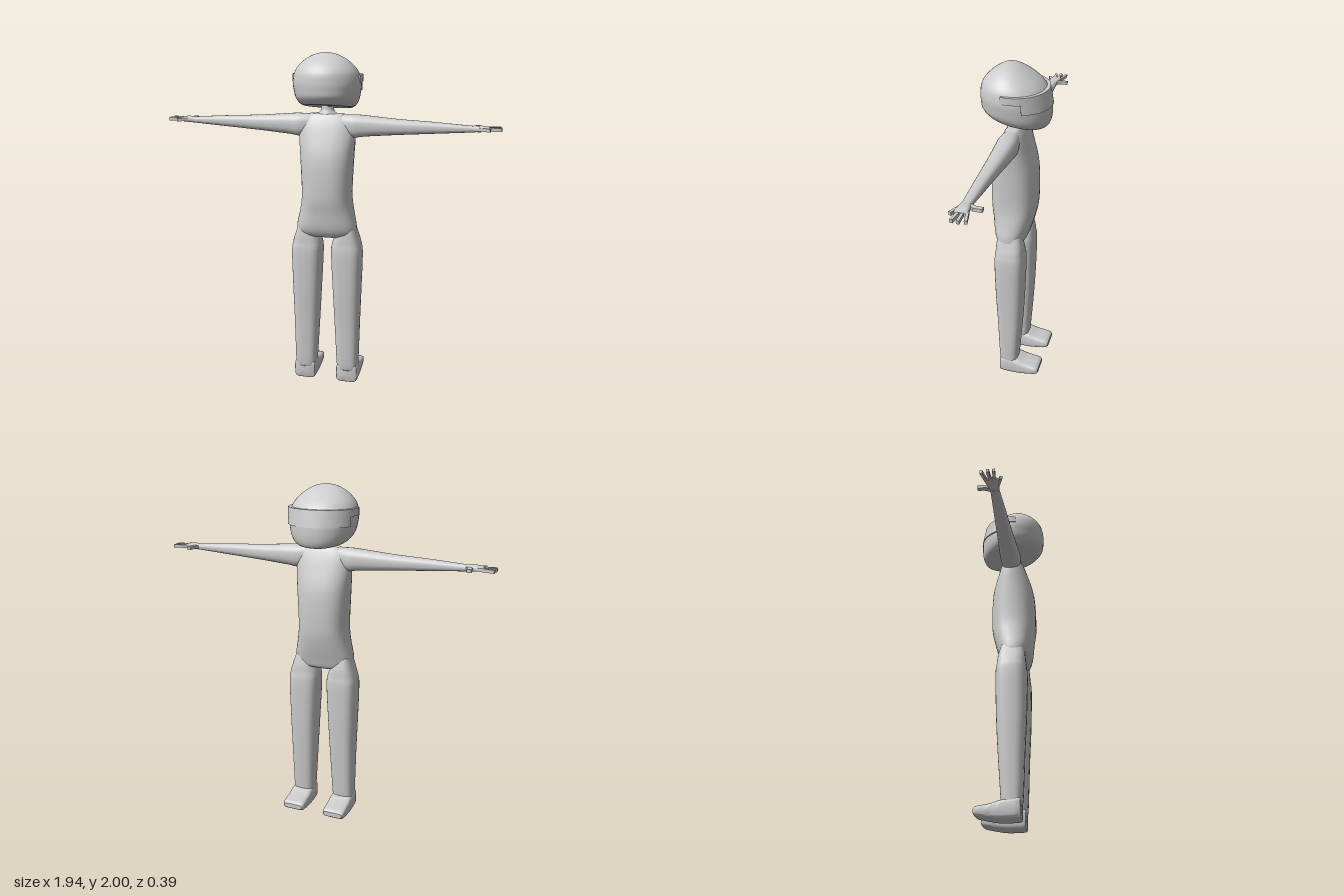
import * as THREE from 'three';
import { toCreasedNormals } from 'three/addons/utils/BufferGeometryUtils.js';

// Skins a list of closed rings, caps both ends and turns all faces outward.
function skin(rings, crease) {
  const n = rings[0].length, last = rings.length - 1, pos = [], idx = [];
  rings.forEach(r => r.forEach(p => pos.push(...p)));
  for (let i = 0; i < last; i++) for (let j = 0; j < n; j++) {
    const a = i * n + j, b = i * n + (j + 1) % n;
    idx.push(a, a + n, b, b, a + n, b + n);
  }
  for (const e of [0, last]) {
    const c = pos.length / 3;
    pos.push(...[0, 1, 2].map(k => rings[e].reduce((s, p) => s + p[k], 0) / n));
    for (let j = 0; j < n; j++) {
      const a = e * n + j, b = e * n + (j + 1) % n;
      if (e === 0) idx.push(c, a, b); else idx.push(c, b, a);
    }
  }
  const v = i => new THREE.Vector3(...pos.slice(i * 3, i * 3 + 3));
  let volume = 0;
  for (let i = 0; i < idx.length; i += 3)
    volume += v(idx[i]).dot(v(idx[i + 1]).cross(v(idx[i + 2])));
  if (volume < 0) idx.reverse();
  const g = new THREE.BufferGeometry();
  g.setAttribute('position', new THREE.Float32BufferAttribute(pos, 3));
  g.setIndex(idx);
  g.computeVertexNormals();
  return crease ? toCreasedNormals(g, crease) : g;
}

// Rows are [t, u0, u1, v0, v1, tilt]; sections are superellipses of power n.
function loft(rows, map, { n = 2.5, sides = 28, steps = 4, crease = 0 } = {}) {
  const dense = [];
  for (let i = 0; i < rows.length - 1; i++) {
    const p = [rows[Math.max(i - 1, 0)], rows[i], rows[i + 1], rows[Math.min(i + 2, rows.length - 1)]];
    for (let s = 0; s < steps; s++) {
      const f = s / steps;
      dense.push(p[1].map((b, k) => {
        const m1 = (p[2][k] - p[0][k]) / 2, m2 = (p[3][k] - b) / 2, c = p[2][k];
        return (2 * f ** 3 - 3 * f * f + 1) * b + (f ** 3 - 2 * f * f + f) * m1
          + (3 * f * f - 2 * f ** 3) * c + (f ** 3 - f * f) * m2;
      }));
    }
  }
  dense.push(rows[rows.length - 1]);
  const pw = c => Math.sign(c) * Math.abs(c) ** (2 / n);
  return skin(dense.map(([t, u0, u1, v0, v1, tilt = 0]) =>
    Array.from({ length: sides }, (_, j) => {
      const a = j / sides * Math.PI * 2;
      const u = (u0 + u1) / 2 + (u1 - u0) / 2 * pw(Math.cos(a));
      const w = (v0 + v1) / 2 + (v1 - v0) / 2 * pw(Math.sin(a));
      return map(t + tilt * w, u, w);
    })), crease);
}

export function createModel() {
  const model = new THREE.Group();
  model.name = 'helmetedFigure';
  const grey = new THREE.MeshStandardMaterial({ color: 0xcccccc });
  grey.name = 'plain grey';
  const add = (name, geometry) => {
    const mesh = new THREE.Mesh(geometry, grey);
    mesh.name = name;
    model.add(mesh);
  };
  const up = (t, u, v) => [u, t, v];

  // Torso from crotch to shoulders
  add('torso', loft([
    [0.935, -0.09, 0.09, -0.03, 0.05],
    [0.95, -0.165, 0.165, -0.06, 0.09],
    [1.00, -0.178, 0.178, -0.077, 0.118],
    [1.10, -0.158, 0.158, -0.105, 0.132],
    [1.20, -0.146, 0.146, -0.12, 0.144],
    [1.40, -0.154, 0.154, -0.115, 0.136],
    [1.54, -0.163, 0.163, -0.078, 0.098],
    [1.62, -0.15, 0.15, -0.05, 0.068],
    [1.66, -0.10, 0.10, -0.03, 0.045],
  ], up, { sides: 36 }));

  add('neck', loft([
    [1.63, -0.11, 0.11, -0.04, 0.055],
    [1.665, -0.05, 0.05, -0.035, 0.045],
    [1.69, -0.036, 0.036, -0.03, 0.037],
    [1.74, -0.034, 0.034, -0.03, 0.037],
  ], up, { n: 2, sides: 20 }));

  // Helmet with its rim tilted down toward the face
  add('helmet', loft([
    [1.697, -0.03, 0.03, -0.03, 0.03, 0.18],
    [1.697, -0.10, 0.10, -0.12, 0.11, 0.18],
    [1.702, -0.145, 0.145, -0.165, 0.16, 0.18],
    [1.735, -0.175, 0.175, -0.184, 0.192, 0.16],
    [1.785, -0.188, 0.188, -0.188, 0.198, 0.09],
    [1.84, -0.193, 0.193, -0.178, 0.199, 0.03],
    [1.90, -0.176, 0.176, -0.137, 0.189, 0],
    [1.95, -0.132, 0.132, -0.073, 0.148, 0],
    [1.985, -0.075, 0.075, -0.012, 0.095, 0],
    [1.998, -0.025, 0.025, 0.025, 0.06, 0],
    [2.0, -0.004, 0.004, 0.04, 0.046, 0],
  ], up, { n: 2.1, sides: 40 }));

  // Visor: a curved band with a deeper shield across the face
  const band = (a0, y0, y1, grow) => skin(Array.from({ length: 33 }, (_, i) => {
    const a = a0 + (Math.PI - 2 * a0) * i / 32;
    const at = (y, inset) => [
      (0.2 + grow - inset) * Math.cos(a), y,
      -(0.172 + grow + (1.88 - y) * 0.2 - inset) * Math.sin(a)];
    return [at(y1, 0), at(y0, 0), at(y0, 0.03), at(y1, 0.03)];
  }), 0.6);
  add('visorBand', band(-0.25, 1.84, 1.88, 0));
  add('visorShield', band(0.38, 1.787, 1.88, 0.001));

  for (const s of [1, -1]) {
    const side = s > 0 ? 'left' : 'right';
    const upright = (t, u, v) => [s * u, t, v];
    const outward = (t, u, v) => [s * t, u, v];
    const forward = (t, u, v) => [s * u, v, t];

    add(side + 'Leg', loft([
      [0.08, 0.067, 0.196, -0.04, 0.064],
      [0.13, 0.064, 0.197, -0.046, 0.074],
      [0.40, 0.05, 0.202, -0.065, 0.085],
      [0.60, 0.04, 0.207, -0.075, 0.095],
      [0.83, 0.029, 0.212, -0.08, 0.10],
      [0.90, 0.035, 0.203, -0.073, 0.094],
      [0.95, 0.055, 0.188, -0.068, 0.09],
      [1.02, 0.08, 0.165, -0.05, 0.08],
    ], upright, { n: 3 }));

    add(side + 'Foot', loft([
      [0.064, 0.072, 0.192, 0.012, 0.11],
      [0.05, 0.066, 0.199, 0.002, 0.12],
      [-0.04, 0.064, 0.2, 0.001, 0.108],
      [-0.09, 0.064, 0.2, 0.008, 0.092],
      [-0.165, 0.065, 0.199, 0.024, 0.078],
      [-0.185, 0.074, 0.19, 0.036, 0.066],
    ], forward, { n: 5, crease: 0.7 }));

    add(side + 'Arm', loft([
      [0.06, 1.56, 1.655, -0.03, 0.05],
      [0.15, 1.53, 1.658, -0.048, 0.068],
      [0.22, 1.537, 1.655, -0.05, 0.064],
      [0.40, 1.552, 1.64, -0.04, 0.052],
      [0.60, 1.566, 1.63, -0.03, 0.041],
      [0.80, 1.58, 1.617, -0.02, 0.03],
      [0.83, 1.582, 1.616, -0.022, 0.03],
    ], outward, { sides: 24 }));

    // Hand: flat palm, four fingers and a thumb
    add(side + 'Palm', loft([
      [0.80, 1.584, 1.614, -0.018, 0.027],
      [0.85, 1.584, 1.618, -0.026, 0.034],
      [0.89, 1.588, 1.614, -0.032, 0.036],
      [0.905, 1.592, 1.61, -0.026, 0.028],
    ], outward, { n: 3, sides: 20 }));
    const digits = {
      IndexFinger: [0.875, -0.024, 0.965, -0.046],
      MiddleFinger: [0.885, -0.006, 0.972, -0.011],
      RingFinger: [0.885, 0.013, 0.97, 0.021],
      LittleFinger: [0.85, 0.026, 0.91, 0.05],
      Thumb: [0.82, -0.008, 0.838, -0.045],
      ThumbTip: [0.838, -0.035, 0.839, -0.083],
    };
    for (const [name, [x0, z0, x1, z1]] of Object.entries(digits)) {
      const len = Math.hypot(x1 - x0, z1 - z0), w = name.startsWith('Thumb') ? 0.024 : 0.015;
      const g = new THREE.BoxGeometry(len, 0.018, w);
      g.rotateY(-Math.atan2(z1 - z0, s * (x1 - x0)));
      g.translate(s * (x0 + x1) / 2, 1.6, (z0 + z1) / 2);
      add(side + name, g);
    }
  }
  return model;
}
